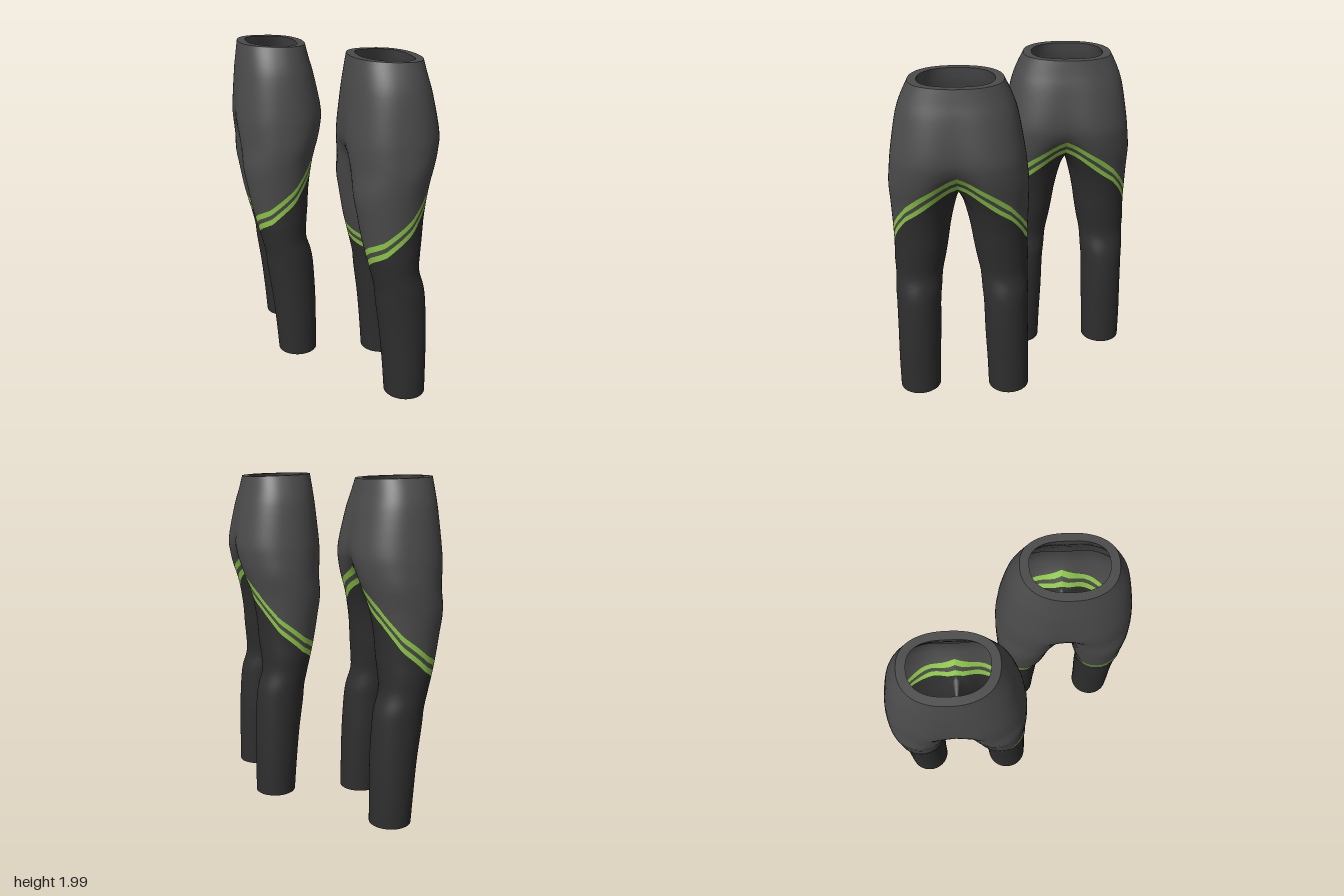
import * as THREE from 'three';
import { mergeVertices } from 'three/addons/utils/BufferGeometryUtils.js';

const OUTER = 40, INNER = 8; // columns round the outside, and per half of the inner thigh
const rad = THREE.MathUtils.degToRad;

// y, half width, front depth, back depth, front dip, back dip
const TORSO = [
  [2.0, 0.265, 0.225, 0.185, 0, 0],
  [1.9, 0.31, 0.238, 0.207, 0, 0.02],
  [1.8, 0.343, 0.25, 0.238, 0, 0.05],
  [1.6, 0.38, 0.272, 0.282, 0.05, 0.1],
  [1.5, 0.393, 0.275, 0.278, 0.1, 0.18],
  [1.4, 0.403, 0.272, 0.255, 0.28, 0.38],
];
// y, centre x, centre z, half width, half depth
const LEG = [
  [1.27, 0.212, 0.027, 0.192, 0.213],
  [1.13, 0.227, 0.027, 0.173, 0.19],
  [1.0, 0.236, 0.02, 0.161, 0.174],
  [0.9, 0.247, 0.013, 0.154, 0.157],
  [0.8, 0.256, 0.002, 0.142, 0.142],
  [0.7, 0.262, -0.024, 0.139, 0.145],
  [0.6, 0.266, -0.036, 0.134, 0.147],
  [0.4, 0.27, -0.055, 0.132, 0.139],
  [0.2, 0.277, -0.066, 0.129, 0.13],
  [0.01, 0.28, -0.074, 0.126, 0.123],
];
const CROTCH = TORSO.length - 1, LAST = TORSO.length + LEG.length - 1;

// height of the stripe band against the angle round the leg (0 front, 90 outside, 180 back)
const BAND = [[-90, 0.79], [-64, 0.815], [0, 0.88], [26, 0.925], [64, 0.975], [116, 1.1],
  [154, 1.25], [206, 1.38], [230, 1.446]];
function bandHeight(deg) {
  let i = 0;
  while (i < BAND.length - 2 && deg > BAND[i + 1][0]) i++;
  const [a, b] = [BAND[i], BAND[i + 1]];
  return THREE.MathUtils.mapLinear(deg, a[0], b[0], a[1], b[1]);
}

function torsoPoint([y, a, front, back, dipF, dipB], v) {
  const s = Math.sin(Math.PI * v), c = Math.cos(Math.PI * v);
  const x = v === 0 || v === 1 ? 0 : a * s ** 0.88;
  const dip = 1 - (c > 0 ? dipF : dipB) * Math.exp(-((x / 0.12) ** 2));
  const z = Math.sign(c) * Math.abs(c) ** 0.85 * (c > 0 ? front : back) * dip;
  return new THREE.Vector3(x, y - (y === 2 ? 0.008 * (1 - c) : 0), z);
}
const legPoint = ([y, cx, cz, rx, rz], deg) =>
  new THREE.Vector3(cx + rx * Math.sin(rad(deg)), y, cz + rz * Math.cos(rad(deg)));

// A column runs down the cloth; at(g) is its point at ring number g
function column(points, first, deg) {
  const curve = new THREE.CatmullRomCurve3(points, false, 'catmullrom', 0.5);
  const at = (g) => curve.getPoint((g - first) / (LAST - first));
  const ringAt = (y) => {
    let lo = first, hi = LAST;
    for (let i = 0; i < 30; i++) {
      const mid = (lo + hi) / 2;
      if (at(mid).y > y) lo = mid; else hi = mid;
    }
    return lo;
  };
  return { at, ringAt, deg };
}

function buildColumns() {
  const outer = [], inner = [];
  for (let j = 0; j <= OUTER; j++) {
    const v = j / OUTER, deg = -50 + 280 * v;
    outer.push(column([...TORSO.map((r) => torsoPoint(r, v)), ...LEG.map((r) => legPoint(r, deg))], 0, deg));
  }
  // inner thigh, from the back centre to the front centre
  const back = outer[OUTER].at(CROTCH), front = outer[0].at(CROTCH);
  for (let j = 1; j < 2 * INNER; j++) {
    const w = j / (2 * INNER), deg = 230 + 80 * w;
    const top = back.clone().lerp(front, w);
    top.y -= 0.07 * Math.sin(Math.PI * w);
    inner.push(column([top, ...LEG.map((r) => legPoint(r, deg))], CROTCH, deg - 360));
  }
  const thigh = [outer[OUTER], ...inner, outer[0]];
  return { outer, thighBack: thigh.slice(0, INNER + 1), thighFront: thigh.slice(INNER) };
}

// Collects grids of points, mirrored to both sides, into one indexed surface per colour
class Surface {
  constructor() { this.pos = []; this.index = {}; }
  grid(name, cols, flip = false) {
    const list = (this.index[name] ??= []), rows = cols[0].length;
    for (const side of [1, -1]) {
      const base = this.pos.length / 3;
      for (const col of cols) for (const p of col) this.pos.push(side * p.x, p.y, p.z);
      for (let j = 0; j < cols.length - 1; j++) for (let i = 0; i < rows - 1; i++) {
        const a = base + j * rows + i, b = a + 1, c = a + rows, d = c + 1;
        if ((side > 0) !== flip) list.push(a, b, c, b, d, c);
        else list.push(a, c, b, b, c, d);
      }
    }
  }
  meshes(group, materials) {
    const names = Object.keys(this.index);
    let g = new THREE.BufferGeometry();
    g.setAttribute('position', new THREE.Float32BufferAttribute(this.pos, 3));
    g.setIndex(names.flatMap((n) => this.index[n]));
    g = mergeVertices(g, 1e-5);
    g.computeVertexNormals();
    let start = 0;
    for (const n of names) {
      const count = this.index[n].length, part = new THREE.BufferGeometry();
      part.setAttribute('position', g.attributes.position);
      part.setAttribute('normal', g.attributes.normal);
      part.setIndex(Array.from(g.index.array.slice(start, start + count)));
      start += count;
      const mesh = new THREE.Mesh(part, materials[n]);
      mesh.name = n;
      group.add(mesh);
    }
  }
}

// points of one column between two ring numbers
const sample = (col, from, to, n) =>
  Array.from({ length: n + 1 }, (_, i) => col.at(from + ((to - from) * i) / n));

function createTrousers(materials) {
  const group = new THREE.Group();
  const { outer, thighBack, thighFront } = buildColumns();
  const cloth = new Surface();

  // ring numbers of the four stripe edges
  const edges = (col) => [0.046, 0.013, -0.013, -0.046].map((o) => col.ringAt(bandHeight(col.deg) + o));
  const striped = (cols, withTorso) => {
    const cuts = cols.map((col) => {
      const e = edges(col);
      if (col === outer[OUTER]) e[3] = CROTCH;
      return [0, Math.min(CROTCH, e[0] * 0.9), ...e, LAST];
    });
    const parts = [['upperPanels', 16], ['upperPanels', 10], ['stripes', 1], ['upperPanels', 1],
      ['stripes', 1], ['lowerPanels', 28]];
    parts.forEach(([name, n], k) => {
      if (k === 0 && !withTorso) return;
      cloth.grid(name, cols.map((col, j) => sample(col,
        withTorso || k > 1 ? cuts[j][k] : CROTCH, cuts[j][k + 1], n)));
    });
  };
  striped(outer, true);
  striped(thighFront, false);
  cloth.grid('lowerPanels', thighBack.map((col) => sample(col, CROTCH, LAST, 28)));
  cloth.meshes(group, materials);

  // waistband: a flat rim and a facing down the inside
  const inset = (p, d) => {
    const k = 1 - d / Math.hypot(p.x, p.z);
    return new THREE.Vector3(p.x * k, p.y, p.z * k);
  };
  const rim = new Surface(), facing = new Surface();
  rim.grid('waistRim', outer.map((c) => [c.at(0), inset(c.at(0), 0.05)]), true);
  facing.grid('waistFacing', outer.map((c) =>
    [[0, 0.05], [0.5, 0.05], [1, 0.045], [2, 0.02], [2.6, 0.006]].map(([g, d]) => inset(c.at(g), d))), true);
  rim.meshes(group, materials);
  facing.meshes(group, materials);
  return group;
}

export function createModel() {
  const make = (name, color) => {
    const m = new THREE.MeshStandardMaterial({ color, side: THREE.DoubleSide });
    m.name = name;
    return m;
  };
  const grey = make('grey cloth', 0x4b4b4b);
  const dark = make('dark cloth', 0x2e2e2e);
  const green = make('green stripe', 0x8fc84a);
  const materials = { upperPanels: grey, lowerPanels: dark, stripes: green, waistRim: grey, waistFacing: grey };

  // two identical pairs, both turned a little to their right
  const model = new THREE.Group();
  model.name = 'trousersPair';
  const first = createTrousers(materials);
  const second = first.clone();
  [[first, 'rightTrousers', -1], [second, 'leftTrousers', 1]].forEach(([t, name, s]) => {
    t.name = name;
    t.rotation.y = rad(-26);
    t.position.set(0.408 * s, 0, -0.102 * s);
    model.add(t);
  });
  return model;
}
